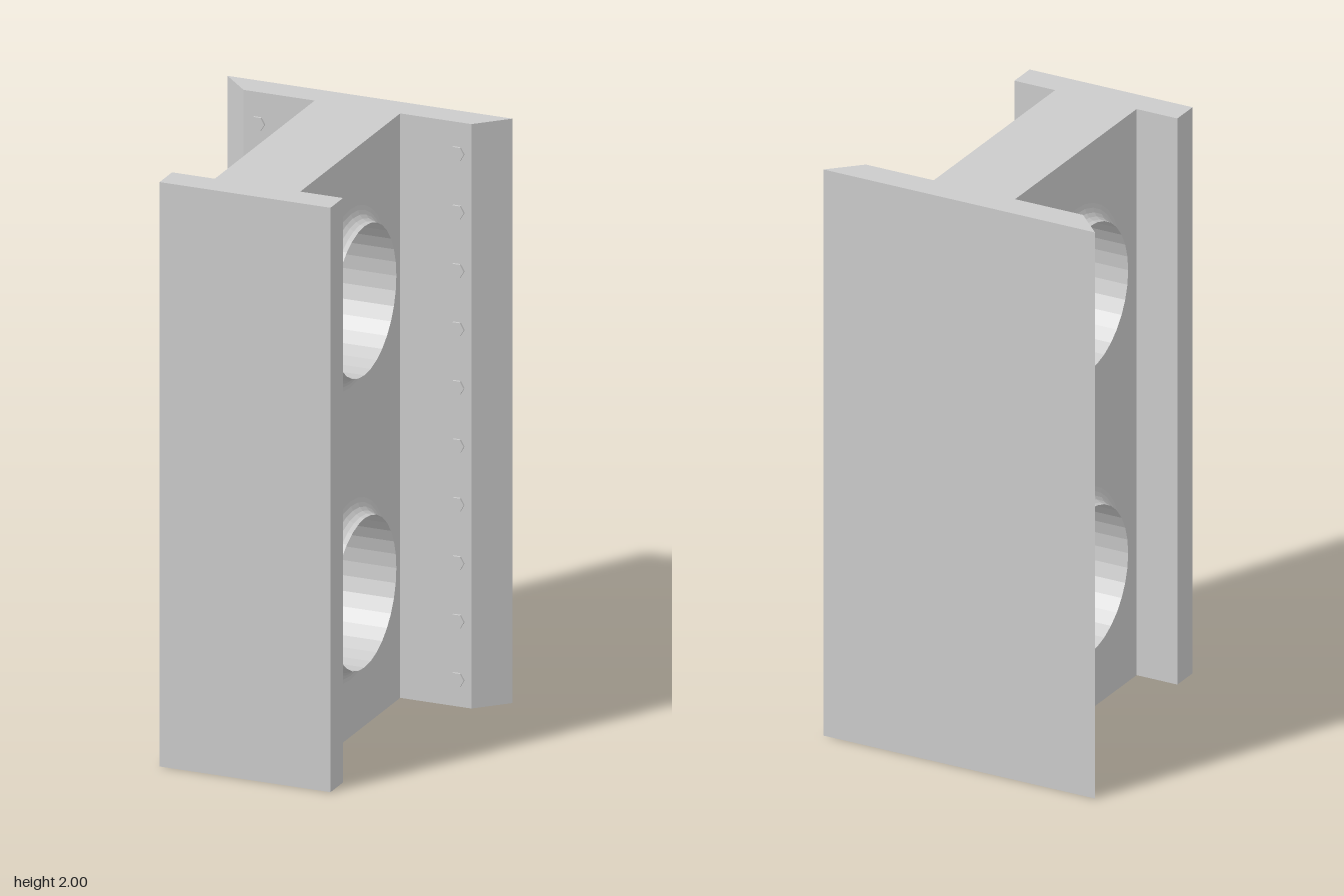
import * as THREE from 'three';

const HEIGHT = 2;
const material = new THREE.MeshStandardMaterial({ color: 0xcccccc, flatShading: true });

function addMesh(parent, name, geometry) {
  const mesh = new THREE.Mesh(geometry, material);
  mesh.name = name;
  parent.add(mesh);
  return mesh;
}

// Central web: a plate in the z-y plane with round openings
function webGeometry(holeHeights) {
  const shape = new THREE.Shape();
  shape.moveTo(-0.4, 0).lineTo(0.4, 0).lineTo(0.4, HEIGHT).lineTo(-0.4, HEIGHT).closePath();
  for (const y of holeHeights) {
    shape.holes.push(new THREE.Path().absarc(0, y, 0.28, 0, Math.PI * 2, true));
  }
  return new THREE.ExtrudeGeometry(shape, { depth: 0.3, bevelEnabled: false, curveSegments: 32 })
    .translate(0, 0, -0.15)
    .rotateY(Math.PI / 2);
}

// Back flange: trapezoid section, wider at the rear
function backFlangeGeometry() {
  const section = new THREE.Shape();
  section.moveTo(-0.4, 0.4).lineTo(0.4, 0.4).lineTo(0.5, 0.5).lineTo(-0.5, 0.5).closePath();
  return new THREE.ExtrudeGeometry(section, { depth: HEIGHT, bevelEnabled: false })
    .rotateX(-Math.PI / 2);
}

// Sleeve lining an opening, with a concave flare where it meets the web
function sleeveGeometry() {
  const flare = [];
  const steps = 5;
  for (let i = 0; i <= steps; i++) {
    const a = (i / steps) * Math.PI / 2;
    flare.push(new THREE.Vector2(0.305 - 0.05 * Math.sin(a), 0.2 - 0.05 * Math.cos(a)));
  }
  const lower = flare.map((p) => new THREE.Vector2(p.x, -p.y)).reverse();
  const profile = [...lower, ...flare, lower[0].clone()];
  return new THREE.LatheGeometry(profile, 32).rotateZ(Math.PI / 2);
}

export function createModel() {
  const model = new THREE.Group();
  model.name = 'girder';
  const holeHeights = [0.5, 1.5];

  addMesh(model, 'web', webGeometry(holeHeights));
  addMesh(model, 'backFlange', backFlangeGeometry());
  addMesh(model, 'frontFlange', new THREE.BoxGeometry(0.6, HEIGHT, 0.1))
    .position.set(0, HEIGHT / 2, 0.45);

  const sleeve = sleeveGeometry();
  for (const y of holeHeights) addMesh(model, 'holeSleeve', sleeve).position.y = y;

  // Two rows of hexagonal bolt heads on the inner face of the back flange
  const bolts = new THREE.Group();
  bolts.name = 'bolts';
  model.add(bolts);
  const bolt = new THREE.CylinderGeometry(0.026, 0.026, 0.016, 6)
    .rotateY(Math.PI / 6)
    .rotateX(Math.PI / 2);
  for (const x of [-0.35, 0.35]) {
    for (let i = 0; i < 10; i++) {
      addMesh(bolts, 'bolt', bolt).position.set(x, 0.093 + 0.2 * i, -0.4);
    }
  }
  return model;
}
